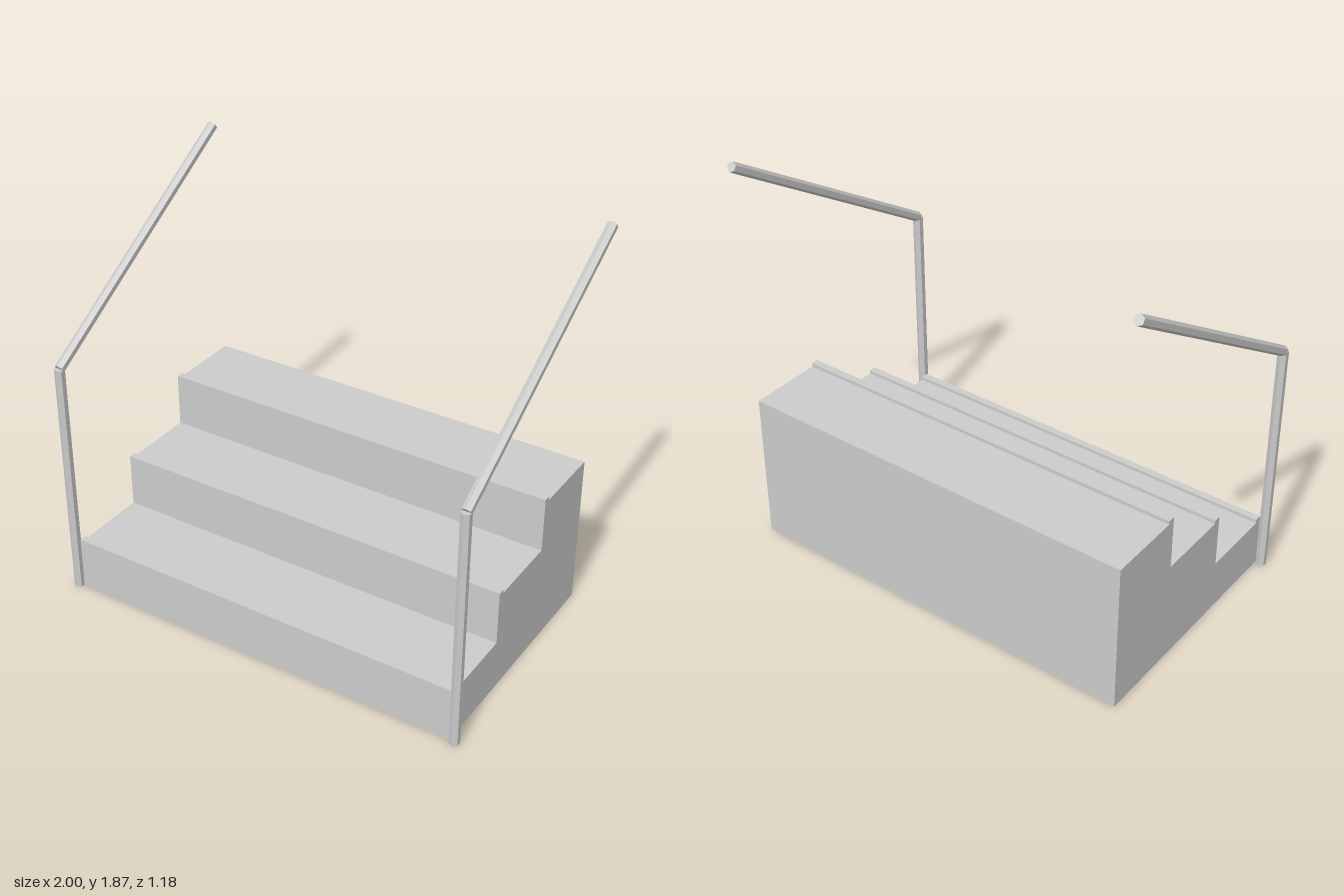
import * as THREE from 'three';

const STEPS = 3, RISE = 0.24, RUN = 0.3815;
const FRONT = 0.5625, HALF_WIDTH = 0.955;
const LIP_DEPTH = 0.034, LIP_HEIGHT = 0.017;
const PIPE_RADIUS = 0.0237, PIPE_X = 0.9795;

const material = new THREE.MeshStandardMaterial({ color: 0xcccccc, flatShading: true });

// Six-sided pipe between two points in the plane of constant x
function pipe(name, from, to) {
  const dir = to.clone().sub(from);
  const mesh = new THREE.Mesh(
    new THREE.CylinderGeometry(PIPE_RADIUS, PIPE_RADIUS, dir.length(), 6), material);
  mesh.name = name;
  mesh.position.copy(from).add(to).multiplyScalar(0.5);
  mesh.rotation.x = Math.atan2(dir.z, dir.y);
  return mesh;
}

// Solid stair block: side profile with a raised lip at each tread's front edge
function staircase() {
  const profile = new THREE.Shape();
  profile.moveTo(FRONT, 0);
  for (let i = 0; i < STEPS; i++) {
    const z = FRONT - i * RUN, y = (i + 1) * RISE;
    profile.lineTo(z, y + LIP_HEIGHT);
    profile.lineTo(z - LIP_DEPTH, y + LIP_HEIGHT);
    profile.lineTo(z - LIP_DEPTH, y);
    profile.lineTo(z - RUN, y);
  }
  profile.lineTo(FRONT - STEPS * RUN, 0);
  profile.closePath();
  const geometry = new THREE.ExtrudeGeometry(profile, { depth: 2 * HALF_WIDTH, bevelEnabled: false });
  // Profile x becomes z, extrusion runs across the width
  geometry.translate(0, 0, -HALF_WIDTH).rotateY(-Math.PI / 2);
  const mesh = new THREE.Mesh(geometry, material);
  mesh.name = 'staircase';
  return mesh;
}

export function createModel() {
  const model = new THREE.Group();
  model.name = 'stairsWithHandrails';
  model.add(staircase());

  // Upright post and sloping rail on each side
  for (const [side, sign] of [['left', 1], ['right', -1]]) {
    const handrail = new THREE.Group();
    handrail.name = side + 'Handrail';
    const at = (y, z) => new THREE.Vector3(sign * PIPE_X, y, z);
    handrail.add(
      pipe('post', at(0, 0.567), at(1.137, 0.567)),
      pipe('rail', at(1.137, 0.566), at(1.852, -0.578)));
    model.add(handrail);
  }
  return model;
}
